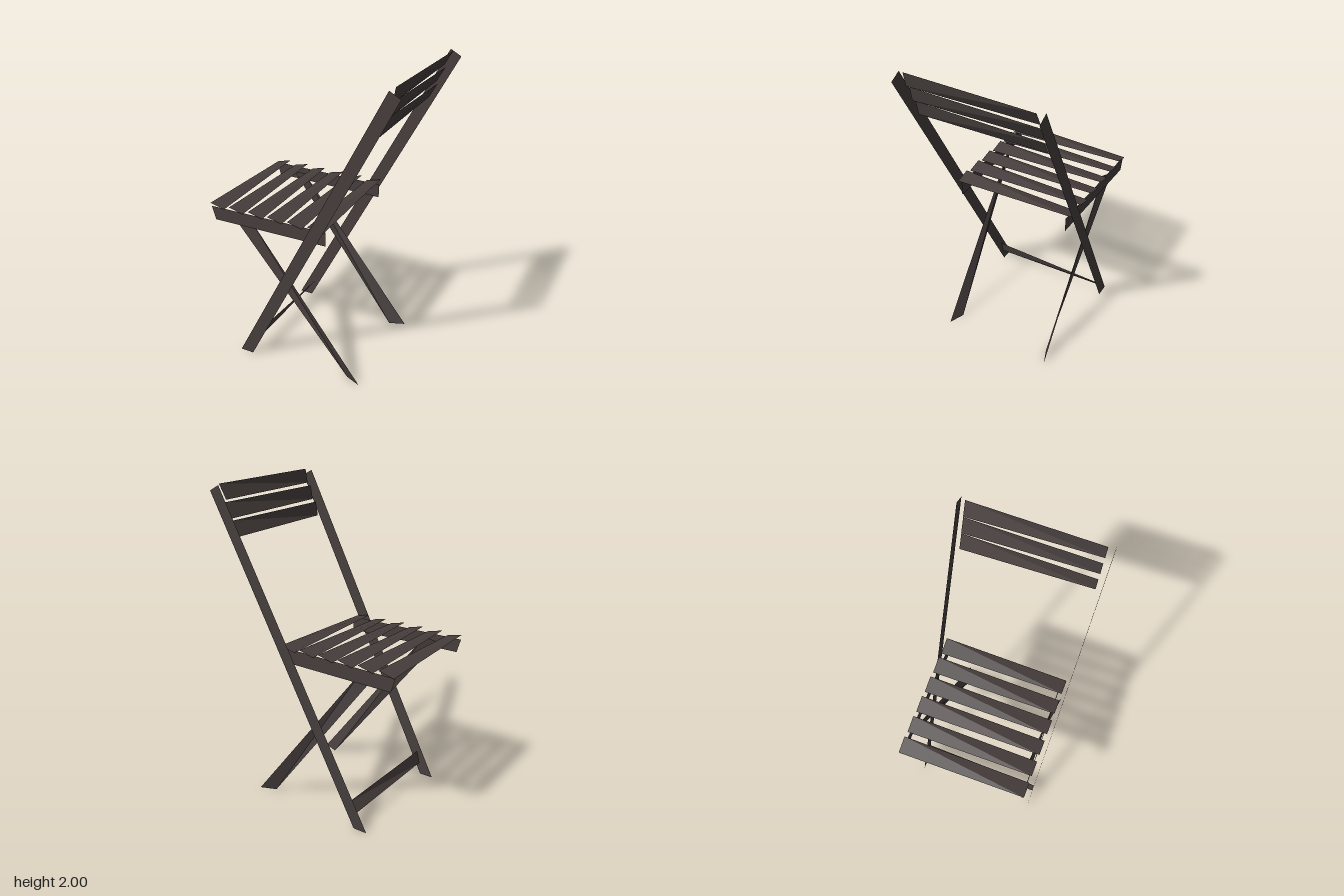
import * as THREE from 'three';

// Thin four-cornered board; the fold runs from corner a to corner c.
function board(name, material, a, b, c, d) {
  const geometry = new THREE.BufferGeometry();
  geometry.setAttribute('position', new THREE.Float32BufferAttribute([a, b, c, a, c, d].flat(), 3));
  geometry.computeVertexNormals();
  const mesh = new THREE.Mesh(geometry, material);
  mesh.name = name;
  return mesh;
}

export function createModel() {
  const wood = new THREE.MeshStandardMaterial({ color: 0x463e3d, side: THREE.DoubleSide });
  wood.name = 'dark stained wood';

  // Built with x as width and +z toward the backrest, then turned 45 degrees.
  const chair = new THREE.Group();
  chair.name = 'foldingChair';
  const add = (name, ...corners) => chair.add(board(name, wood, ...corners));

  // Seat: six slightly twisted slats
  const half = 0.403;
  for (let i = 0; i < 6; i++) {
    const front = -0.658 + i * 0.1385, rear = front + 0.1;
    add('seatSlat' + (i + 1),
      [-half, 1.068, front], [-half, 1.045, rear], [half, 1.068, rear], [half, 1.042, front]);
  }

  // Backrest: three twisted slats
  for (let i = 0; i < 3; i++) {
    const y = 1.999 - i * 0.106, z = -i * 0.042;
    add('backSlat' + (i + 1),
      [-0.405, y - 0.09, 0.547 + z], [0.405, y - 0.098, 0.525 + z],
      [0.408, y - 0.008, 0.574 + z], [-0.405, y, 0.563 + z]);
  }

  // Low crossbar between the long legs
  add('crossbar',
    [-0.405, 0.08, -0.392], [0.405, 0.09, -0.402], [0.405, 0.152, -0.352], [-0.405, 0.164, -0.372]);

  // Paired parts on each side
  for (const s of [-1, 1]) {
    const side = s > 0 ? 'A' : 'B';
    // Long leg running up into the back post
    add('longLeg' + side,
      [s * 0.405, 0, -0.495], [s * 0.405, 0, -0.403], [s * 0.446, 1.952, 0.612], [s * 0.446, 1.989, 0.544]);
    // Short crossing leg, twisted along its length
    add('shortLeg' + side,
      [s * 0.332, 0, 0.27], [s * 0.372, 0, 0.372], [s * 0.355, 1.02, -0.42], [s * 0.378, 0.995, -0.505]);
    // Rail under the seat
    add('seatRail' + side,
      [s * 0.39, 0.952, -0.634], [s * 0.373, 0.952, 0.14], [s * 0.373, 1.045, 0.14], [s * 0.39, 1.04, -0.66]);
  }

  chair.rotation.y = Math.PI / 4;
  const model = new THREE.Group();
  model.name = 'chair';
  model.add(chair);
  return model;
}
